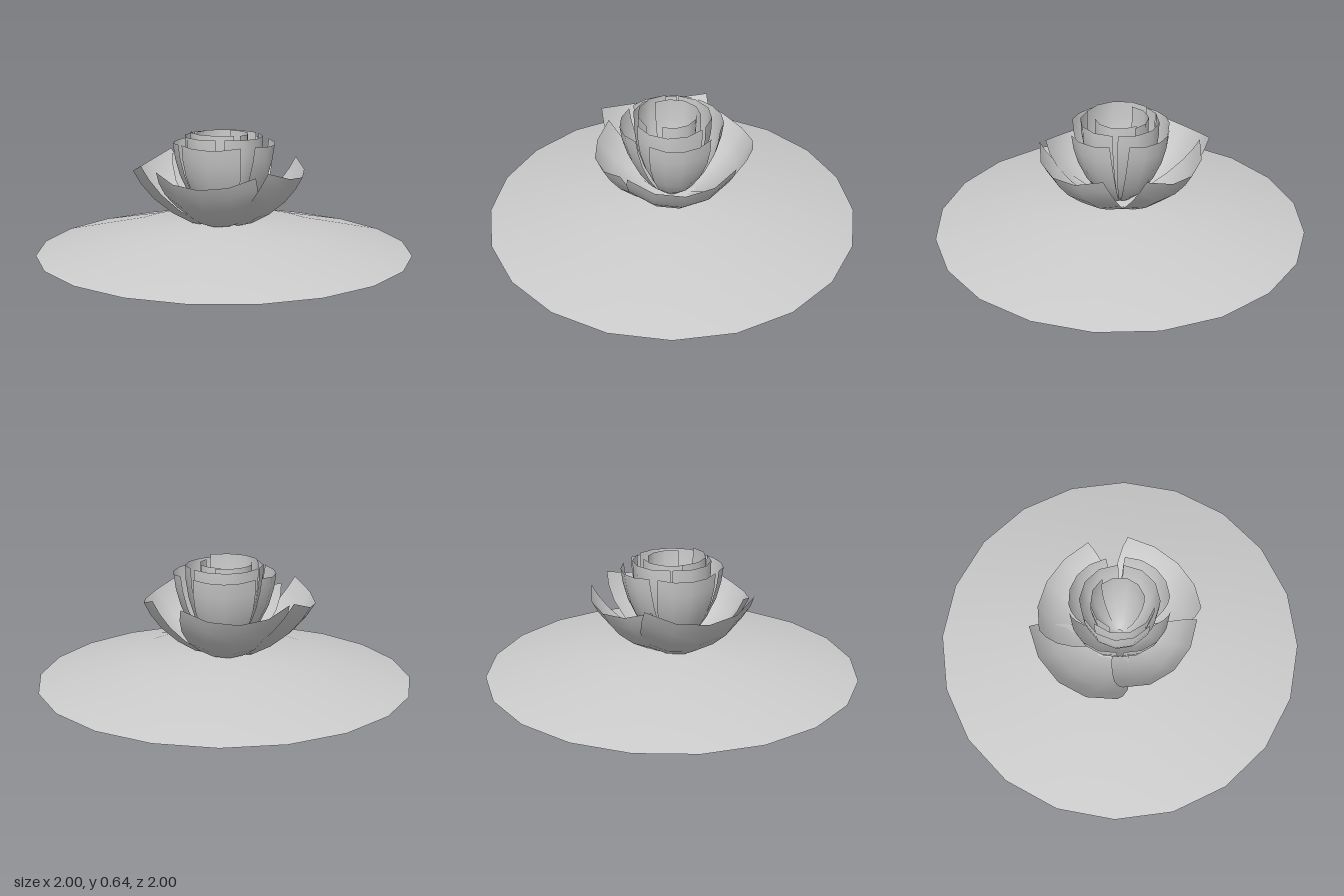
import * as THREE from 'three';

const material = new THREE.MeshStandardMaterial({ color: 0xcccccc, side: THREE.DoubleSide });
const rad = THREE.MathUtils.degToRad;
const BASE_Y = 0.155;

// Cup-shaped petal profile: [radius, height], from base to rim
const PROFILE = [[0.004, 0], [0.075, 0.015], [0.14, 0.075], [0.195, 0.165], [0.235, 0.27], [0.25, 0.36], [0.25, 0.436]];

// One petal: a slice of a bowl, flattened by k, tilted outwards and turned to its heading
function petal(name, { heading, half, tilt = 0, k = 0, width = 1, height = 1 }) {
  const points = PROFILE.map(([r, y]) => new THREE.Vector2((r * width) / (1 - k), y * height));
  const geometry = new THREE.LatheGeometry(points, 4, -rad(half), 2 * rad(half));
  const pos = geometry.attributes.position;
  for (let i = 0; i < pos.count; i++) {
    const r = Math.hypot(pos.getX(i), pos.getZ(i));
    pos.setZ(i, pos.getZ(i) - k * r);
  }
  geometry.rotateX(rad(tilt));
  geometry.rotateY(rad(heading));
  geometry.computeVertexNormals();
  const mesh = new THREE.Mesh(geometry, material);
  mesh.name = name;
  mesh.position.y = BASE_Y;
  return mesh;
}

// A ring of petals sharing one shape; each entry overrides what differs
function petalRing(name, shared, entries) {
  const ring = new THREE.Group();
  ring.name = name;
  entries.forEach((e, i) => ring.add(petal(`${name}Petal${i + 1}`, { ...shared, ...e })));
  return ring;
}

export function createModel() {
  const model = new THREE.Group();
  model.name = 'flowerOnPad';

  // Shallow domed pad, open underneath
  const padProfile = [[1, 0], [0.5, 0.12], [0, 0.16]].map(([r, y]) => new THREE.Vector2(r, y));
  const pad = new THREE.Mesh(new THREE.LatheGeometry(padProfile, 20), material);
  pad.name = 'pad';
  model.add(pad);

  const flower = new THREE.Group();
  flower.name = 'flower';
  model.add(flower);

  // Wide open outer petals
  flower.add(petalRing('outer', { half: 48, tilt: 29, k: 0.33 }, [
    { heading: 45 },
    { heading: -45, height: 0.94, width: 0.96 },
    { heading: -129, tilt: 32, height: 1.1, width: 1.08 },
    { heading: 155, tilt: 30 },
  ]));

  // Upright middle petals
  flower.add(petalRing('middle', { half: 46, tilt: 8, k: 0.04, width: 0.85, height: 1.04 }, [
    { heading: 48 },
    { heading: -46 },
    { heading: -130 },
    { heading: 145 },
  ]));

  // Closed inner petals
  flower.add(petalRing('inner', { half: 60, tilt: 2, width: 0.77, height: 1.07 }, [
    { heading: 30 },
    { heading: 150 },
    { heading: -95 },
  ]));

  // Tight heart of the flower
  flower.add(petalRing('heart', { half: 62, width: 0.6, height: 1.08 }, [
    { heading: 75, width: 0.52 },
    { heading: -170 },
    { heading: -72, width: 0.72, height: 1.105 },
  ]));

  return model;
}
